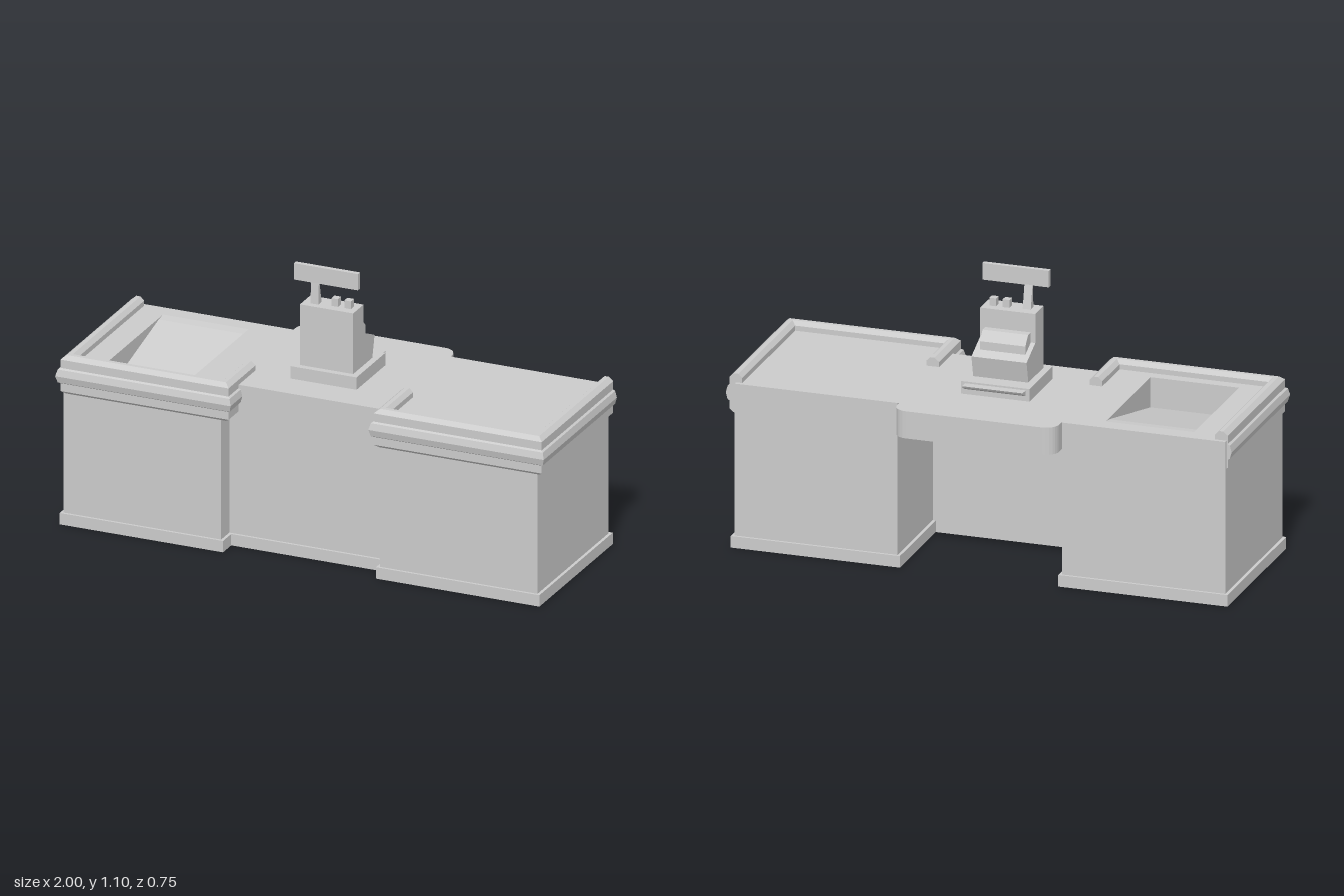
import * as THREE from 'three';

const solid = new THREE.MeshStandardMaterial({ color: 0xcccccc, flatShading: true });
const sheet = new THREE.MeshStandardMaterial({ color: 0xcccccc, flatShading: true, side: THREE.DoubleSide });

function mesh(name, geometry, material = solid) {
  const m = new THREE.Mesh(geometry, material);
  m.name = name;
  return m;
}

// Box given by its limits on each axis
function box(name, x0, x1, y0, y1, z0, z1) {
  const g = new THREE.BoxGeometry(x1 - x0, y1 - y0, z1 - z0);
  return mesh(name, g.translate((x0 + x1) / 2, (y0 + y1) / 2, (z0 + z1) / 2));
}

function soup(positions) {
  const g = new THREE.BufferGeometry();
  g.setAttribute('position', new THREE.Float32BufferAttribute(positions, 3));
  g.computeVertexNormals();
  return g;
}

function quad(out, a, b, c, d) {
  out.push(...a, ...b, ...c, ...a, ...c, ...d);
}

const shapeOf = (pts) => new THREE.Shape(pts.map(([x, y]) => new THREE.Vector2(x, y)));
const rect = (x0, x1, z0, z1) => [[x0, z0], [x1, z0], [x1, z1], [x0, z1]];

// Thin upright walls following a floor path of [x, z]
function walls(name, path, y0, y1) {
  const out = [];
  for (let i = 0; i < path.length - 1; i++) {
    const [ax, az] = path[i], [bx, bz] = path[i + 1];
    quad(out, [ax, y0, az], [bx, y0, bz], [bx, y1, bz], [ax, y1, az]);
  }
  return mesh(name, soup(out), sheet);
}

// Floor shape in [x, z] raised from y0 to y1
function raised(name, shape, y0, y1) {
  const g = new THREE.ExtrudeGeometry(shape, { depth: y1 - y0, bevelEnabled: false, curveSegments: 6 });
  return mesh(name, g.rotateX(Math.PI / 2).translate(0, y1, 0));
}

// Side profile in [z, y] stretched from x0 to x1
function sideProfile(name, pts, x0, x1) {
  const g = new THREE.ExtrudeGeometry(shapeOf(pts.map(([z, y]) => [-z, y])), { depth: x1 - x0, bevelEnabled: false });
  return mesh(name, g.rotateY(Math.PI / 2).translate(x0, 0, 0));
}

// Moulded rail around one pod: profile [outward, y] swept along a mitred U
function rail(name) {
  const profile = [[0, 0.53], [0, 0.67], [0.015, 0.685], [0.032, 0.685], [0.05, 0.67], [0.05, 0.637], [0.058, 0.632],
    [0.065, 0.606], [0.058, 0.58], [0.05, 0.575], [0.05, 0.543], [0.034, 0.53]];
  // x, z, then the outward direction
  const path = [[0.935, -0.29, 1, 0], [0.935, 0.313, 1, 1], [0.347, 0.313, -1, 1], [0.347, 0.115, -1, 0]];
  const rings = path.map(([x, z, dx, dz]) => profile.map(([d, y]) => [x + d * dx, y, z + d * dz]));
  const out = [], n = profile.length;
  for (let i = 0; i < 3; i++) {
    for (let j = 0; j < n; j++) {
      const k = (j + 1) % n;
      quad(out, rings[i][j], rings[i + 1][j], rings[i + 1][k], rings[i][k]);
    }
  }
  const caps = THREE.ShapeUtils.triangulateShape(profile.map(([d, y]) => new THREE.Vector2(d, y)), []);
  for (const ring of [rings[0], rings[3]]) {
    for (const tri of caps) for (const j of tri) out.push(...ring[j]);
  }
  return mesh(name, soup(out), sheet);
}

function roundedBack() {
  const pts = [], r = 0.05;
  for (let i = 0; i <= 6; i++) {
    const a = (i / 6) * Math.PI / 2;
    pts.push([-0.28 - r * Math.cos(a), -0.325 - r * Math.sin(a)]);
  }
  // mirror about the desk's middle, x = -0.01
  return [...pts, ...pts.map(([x, z]) => [-0.02 - x, z]).reverse()];
}

function createCounter() {
  const g = new THREE.Group();
  g.name = 'counter';
  const top = 0.65, back = -0.305, front = 0.345, mid = 0.27;

  // Hollow pods with a skirting ring
  for (const [side, x0, x1] of [['right', -0.98, -0.335], ['left', 0.315, 0.96]]) {
    const r = rect(x0, x1, back, front);
    g.add(walls(side + 'PodWalls', [...r, r[0]], 0, top));
    const ring = shapeOf(rect(x0 - 0.012, x1 + 0.012, back - 0.01, front + 0.01));
    ring.holes.push(shapeOf(rect(x0 + 0.004, x1 - 0.004, back + 0.004, front - 0.004)));
    g.add(raised(side + 'PodSkirting', ring, 0, 0.046));
  }

  // Middle section and kneehole
  g.add(walls('middleFrontPanel', [[-0.335, mid], [0.315, mid]], 0, top));
  g.add(walls('kneeholePanel', [[-0.335, 0.095], [0.315, 0.095]], 0, 0.545));
  g.add(box('middleSkirting', -0.325, 0.305, 0, 0.046, mid - 0.003, mid + 0.01));
  const curve = roundedBack();
  g.add(raised('deskOverhang', shapeOf([...curve, [0.31, 0.095], [-0.33, 0.095]]), 0.54, top - 0.002));

  // Worktop sheet with the tray opening
  const outline = shapeOf([[-0.98, back], [-0.33, back], ...curve, [0.31, back], [0.96, back], [0.96, front],
    [0.315, front], [0.315, mid], [-0.335, mid], [-0.335, front], [-0.98, front]]);
  const [tx0, tx1, tz0, tz1] = [-0.835, -0.485, -0.24, 0.27];
  outline.holes.push(shapeOf(rect(tx0, tx1, tz0, tz1)));
  g.add(mesh('worktop', new THREE.ShapeGeometry(outline).rotateX(Math.PI / 2).translate(0, top, 0), sheet));

  // Sloping tray, deepest at the front
  const slope = [[tz0, top], [-0.2, 0.645], [tz1, 0.53]];
  const tray = [];
  for (let i = 0; i < 2; i++) {
    const [za, ya] = slope[i], [zb, yb] = slope[i + 1];
    quad(tray, [tx0, ya, za], [tx0, yb, zb], [tx1, yb, zb], [tx1, ya, za]);
    for (const x of [tx0, tx1]) quad(tray, [x, ya, za], [x, yb, zb], [x, top, zb], [x, top, za]);
  }
  quad(tray, [tx0, 0.53, tz1], [tx1, 0.53, tz1], [tx1, top, tz1], [tx0, top, tz1]);
  g.add(mesh('slopingTray', soup(tray), sheet));

  // Mirrored moulded rails
  g.add(rail('leftRail'));
  const other = rail('rightRail');
  other.scale.x = -1;
  g.add(other);
  return g;
}

function createRegister() {
  const g = new THREE.Group();
  g.name = 'cashRegister';
  g.add(box('registerBase', -0.145, 0.125, 0.65, 0.70, -0.13, 0.135));
  g.add(sideProfile('drawerLip', [[-0.12, 0.693], [-0.165, 0.693], [-0.16, 0.685], [-0.12, 0.665]], -0.13, 0.11));
  g.add(sideProfile('registerBody', [[0.11, 0.70], [0.11, 0.945], [0.015, 0.945], [0.015, 0.83],
    [-0.085, 0.785], [-0.065, 0.70]], -0.118, 0.1));
  g.add(sideProfile('printer', [[0.015, 0.82], [0.015, 0.87], [-0.015, 0.87], [-0.047, 0.835], [-0.047, 0.80]], -0.1, 0.08));
  // Buttons, post and customer display
  for (const x of [-0.005, 0.048]) g.add(box('topButton', x, x + 0.027, 0.945, 0.976, 0.047, 0.075));
  g.add(sideProfile('displayPost', [[0.085, 0.945], [0.08, 1.04], [0.076, 1.04], [0.055, 0.945]], -0.086, -0.054));
  g.add(box('customerDisplay', -0.15, 0.112, 1.034, 1.1, 0.075, 0.094));
  return g;
}

export function createModel() {
  const model = new THREE.Group();
  model.name = 'checkoutCounter';
  model.add(createCounter(), createRegister());
  return model;
}
